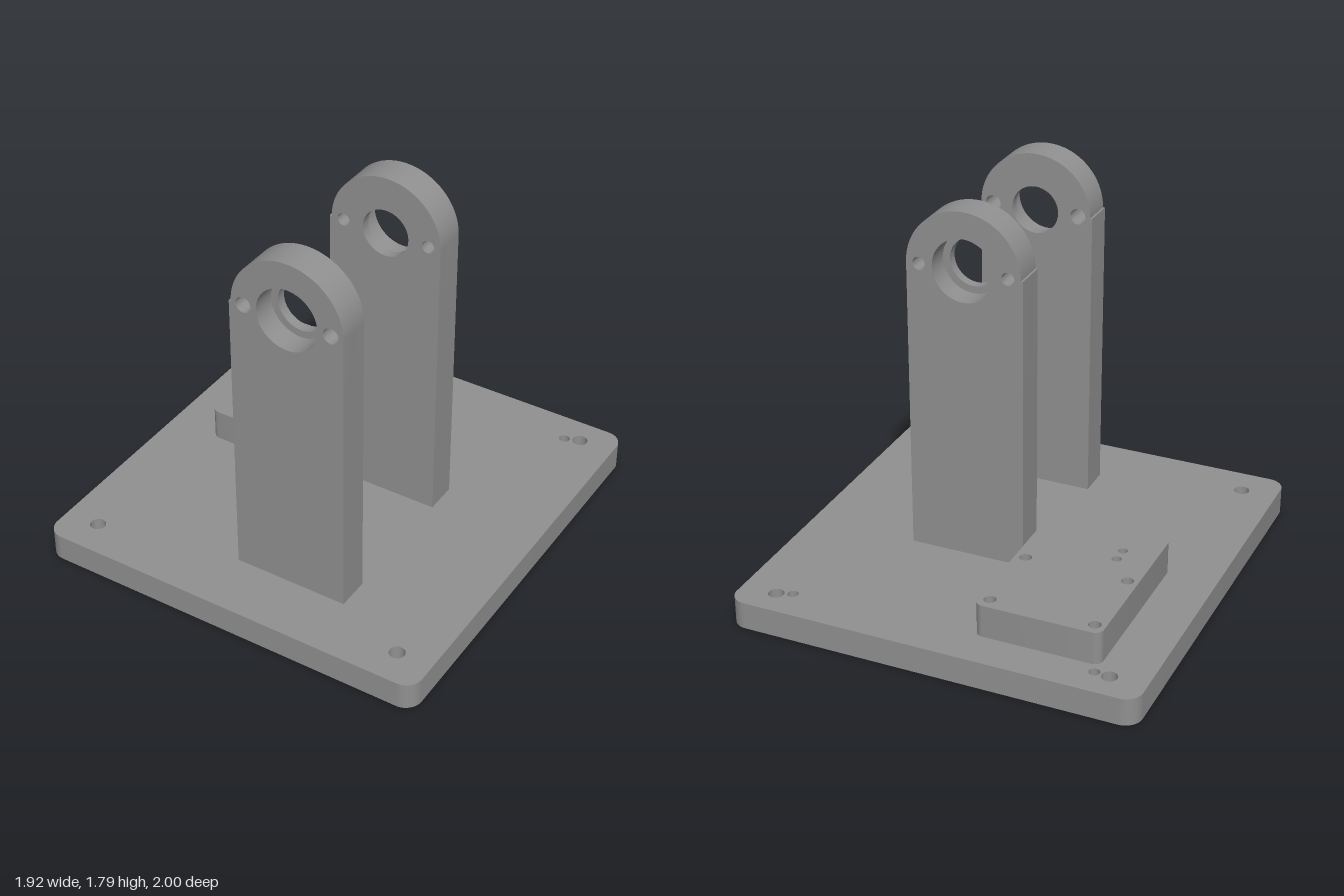
import * as THREE from 'three';
import { toCreasedNormals } from 'three/addons/utils/BufferGeometryUtils.js';

const grey = new THREE.MeshStandardMaterial({ color: 0x909090 });
grey.name = 'machinedGrey';

// Extrude a shape along +z, cutting round holes given as [x, y, radius]
function drilledPlate(shape, holes, depth) {
  for (const [x, y, r] of holes) {
    shape.holes.push(new THREE.Path().absarc(x, y, r, 0, Math.PI * 2, true));
  }
  const geo = new THREE.ExtrudeGeometry(shape, { depth, bevelEnabled: false, curveSegments: 32 });
  return toCreasedNormals(geo, 0.6);
}

function roundedRect(x0, y0, x1, y1, r) {
  const s = new THREE.Shape();
  s.absarc(x1 - r, y0 + r, r, -Math.PI / 2, 0);
  s.absarc(x1 - r, y1 - r, r, 0, Math.PI / 2);
  s.absarc(x0 + r, y1 - r, r, Math.PI / 2, Math.PI);
  s.absarc(x0 + r, y0 + r, r, Math.PI, Math.PI * 1.5);
  s.closePath();
  return s;
}

// Horizontal slab drawn in plan, where shape y stands for -z
function slab(name, shape, holes, y0, y1) {
  const geo = drilledPlate(shape, holes, y1 - y0).rotateX(-Math.PI / 2).translate(0, y0, 0);
  const mesh = new THREE.Mesh(geo, grey);
  mesh.name = name;
  return mesh;
}

// Upright outline: rounded top with a small shoulder on one side
function uprightOutline() {
  const s = new THREE.Shape();
  s.moveTo(-0.11, 0.13);
  s.lineTo(0.44, 0.13);
  s.absarc(0.17, 1.525, 0.27, 0, Math.PI);
  s.lineTo(-0.11, 1.525);
  s.closePath();
  return s;
}

// Bearing upright in two layers: wide bearing seat and narrower lip
function upright(name, zMin, zMax, seatFacesFront, screwRadius) {
  const group = new THREE.Group();
  group.name = name;
  const lip = 0.045;
  const zSplit = seatFacesFront ? zMin + lip : zMax - lip;
  const layers = [[zMin, zSplit, !seatFacesFront], [zSplit, zMax, seatFacesFront]];
  for (const [z0, z1, isSeat] of layers) {
    const holes = [
      [0.17, 1.525, isSeat ? 0.147 : 0.113],
      [-0.04, 1.525, screwRadius],
      [0.38, 1.525, screwRadius],
    ];
    const geo = drilledPlate(uprightOutline(), holes, z1 - z0).translate(0, 0, z0);
    const mesh = new THREE.Mesh(geo, grey);
    mesh.name = isSeat ? 'bearingSeat' : 'bearingLip';
    group.add(mesh);
  }
  return group;
}

export function createModel() {
  const model = new THREE.Group();
  model.name = 'bearingStand';

  // Base plate: four through holes, two blind holes in the upper layer
  const corners = [];
  for (const x of [-0.79, 0.79]) for (const y of [0.87, -0.84]) corners.push([x, y, 0.036]);
  const blind = [[-0.72, 0.865, 0.025], [0.72, 0.845, 0.025]];
  const baseShape = () => roundedRect(-0.96, -1, 0.96, 1, 0.08);
  model.add(slab('basePlateLower', baseShape(), corners, 0, 0.05));
  model.add(slab('basePlateUpper', baseShape(), [...corners, ...blind], 0.05, 0.13));

  // Raised mounting pad with screw holes
  const padHoles = [[-0.565, 0.23, 0.022], [-0.565, 0.155, 0.022]];
  for (const x of [-0.675, -0.195]) for (const y of [0.755, 0.38]) padHoles.push([x, y, 0.028]);
  model.add(slab('mountingPad', roundedRect(-0.725, -0.025, -0.145, 0.815, 0.04), padHoles, 0.13, 0.285));

  // Pair of uprights with bearing seats facing outward
  model.add(upright('frontUpright', 0.55, 0.705, true, 0.037));
  model.add(upright('rearUpright', -0.22, -0.065, false, 0.03));
  return model;
}
